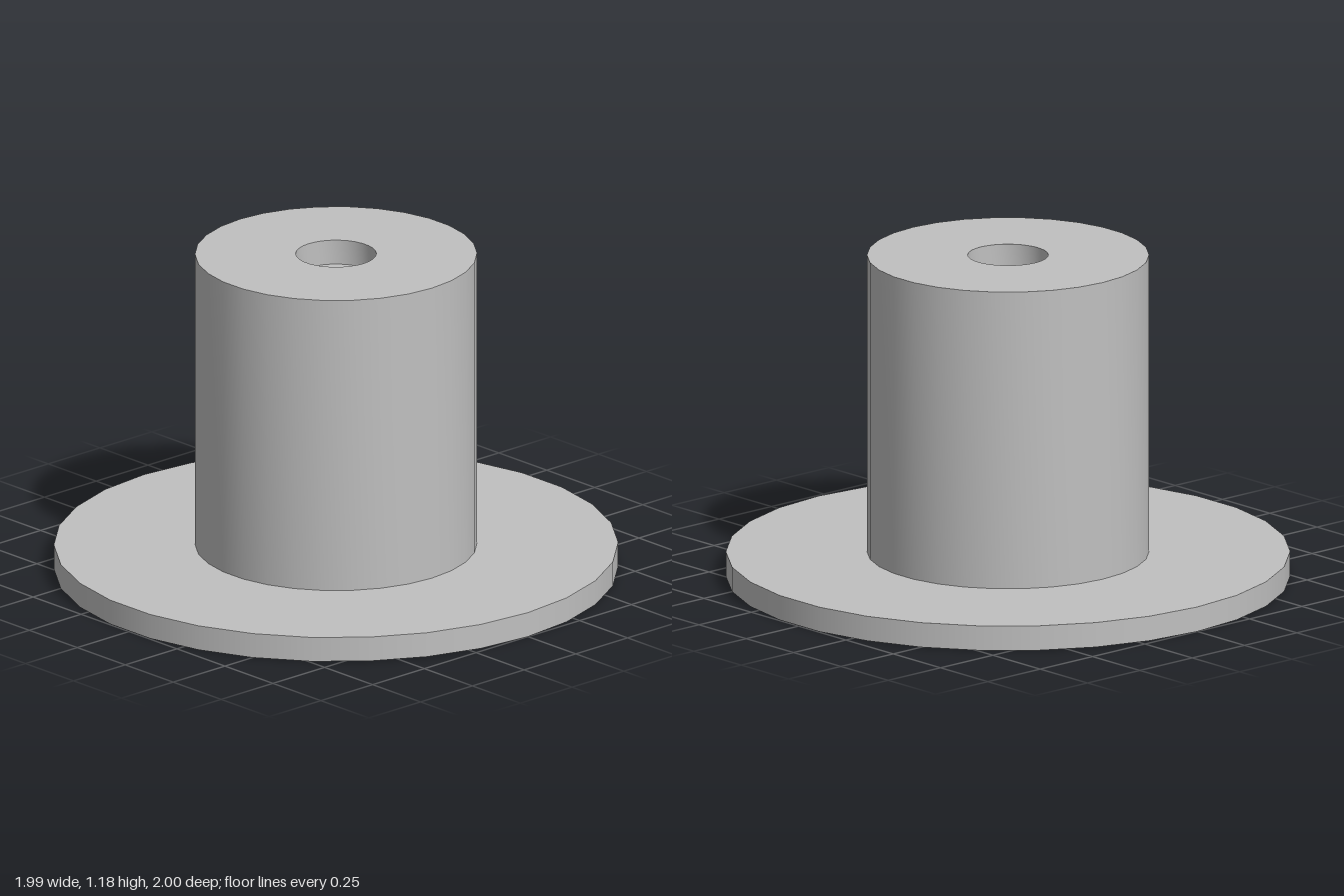
import * as THREE from 'three';
import { toCreasedNormals } from 'three/addons/utils/BufferGeometryUtils.js';

const SIDES = 30;
const FLANGE_HEIGHT = 0.09;
const TOP = 1.18;
const POST_RADIUS = 0.5;
const HOLE_RADIUS = 0.143;
const HOLE_DEPTH = 0.09;

export function createModel() {
  const model = new THREE.Group();
  model.name = 'flangedPost';

  const grey = new THREE.MeshStandardMaterial({ color: 0xc0c0c0 });
  grey.name = 'lightGrey';

  // Flat round base
  const flange = new THREE.Mesh(
    new THREE.CylinderGeometry(1, 1, FLANGE_HEIGHT, SIDES), grey);
  flange.name = 'baseFlange';
  flange.position.y = FLANGE_HEIGHT / 2;

  // Post with a shallow blind hole in its top
  const profile = [
    [POST_RADIUS, FLANGE_HEIGHT],
    [POST_RADIUS, TOP],
    [HOLE_RADIUS, TOP],
    [HOLE_RADIUS, TOP - HOLE_DEPTH],
    [0, TOP - HOLE_DEPTH],
  ].map(([r, y]) => new THREE.Vector2(r, y));
  const post = new THREE.Mesh(
    toCreasedNormals(new THREE.LatheGeometry(profile, SIDES), Math.PI / 6), grey);
  post.name = 'postWithHole';

  model.add(flange, post);
  return model;
}
